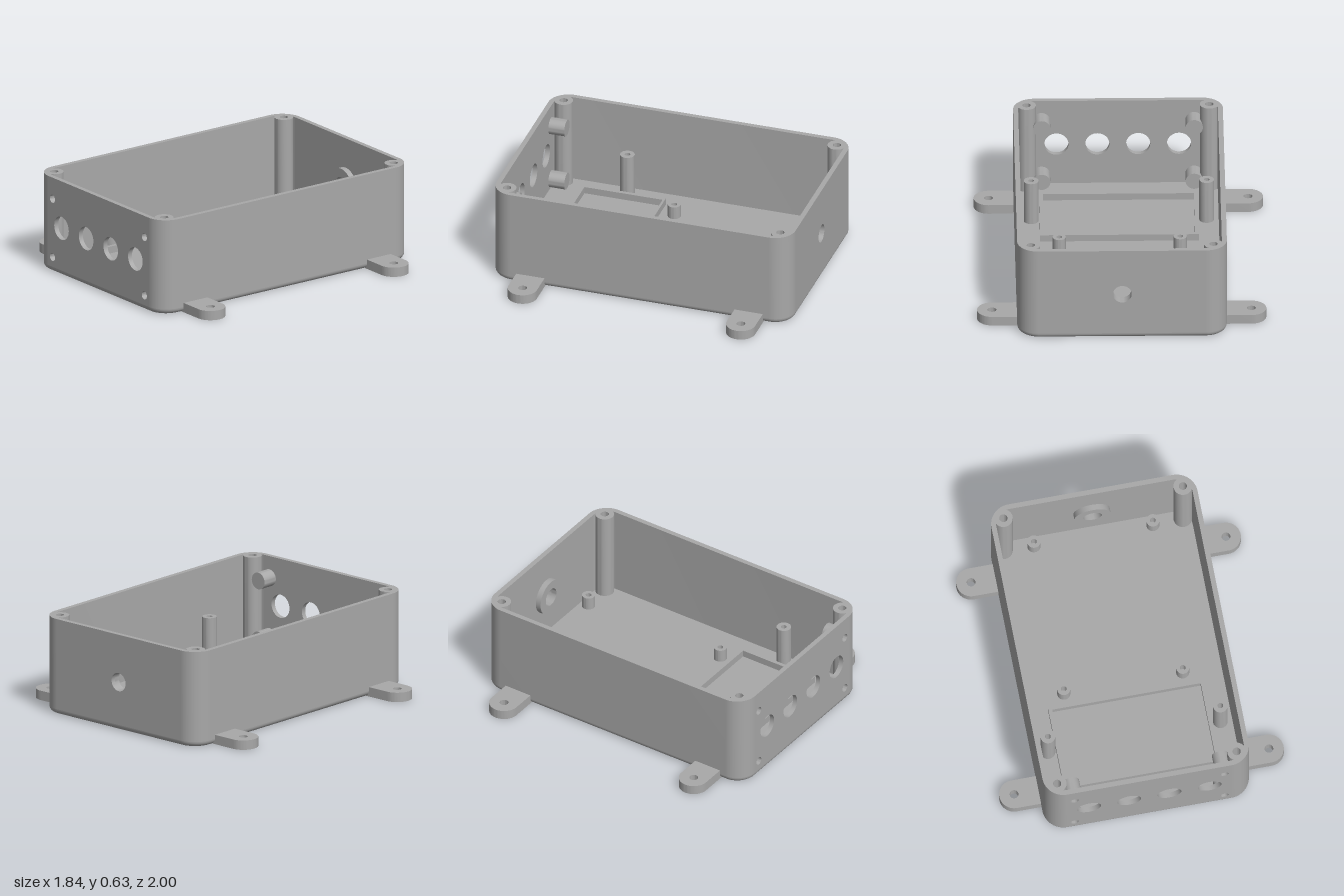
import * as THREE from 'three';
import { toCreasedNormals } from 'three/addons/utils/BufferGeometryUtils.js';

const W = 0.667, L = 1, H = 0.632;      // half width, half length, height
const R = 0.135, T = 0.032;             // corner radius, wall thickness
const F = 0.035;                        // floor thickness and bottom rounding
const CX = W - R, CZ = L - R;           // corner arc centres

export function createModel() {
  const model = new THREE.Group();
  const grey = new THREE.MeshStandardMaterial({ color: 0xa8a8a8 });
  grey.name = 'grey plastic';

  const add = (name, geometry, x = 0, y = 0, z = 0) => {
    const mesh = new THREE.Mesh(geometry, grey);
    mesh.name = name;
    mesh.position.set(x, y, z);
    model.add(mesh);
    return mesh;
  };
  const extrude = (shape, depth) => toCreasedNormals(
    new THREE.ExtrudeGeometry(shape, { depth, bevelEnabled: false, curveSegments: 20 }), 0.5);
  const extrudeUp = (shape, depth) => extrude(shape, depth).rotateX(-Math.PI / 2);
  const circle = (x, y, r) => new THREE.Path().absarc(x, y, r, 0, Math.PI * 2, true);
  const rect = (x0, y0, x1, y1) => new THREE.Shape([
    [x0, y0], [x1, y0], [x1, y1], [x0, y1]].map(p => new THREE.Vector2(...p)));
  const lathe = points => toCreasedNormals(
    new THREE.LatheGeometry(points.map(p => new THREE.Vector2(...p)), 40), 0.5);
  // Cylinder with a blind hole in its top
  const post = (r, h, hole, bottom) => lathe(
    [[0, 0], [r, 0], [r, h], [hole, h], [hole, bottom], [0, bottom]]);

  // Rounded rectangle outline, drawn inwards by an inset
  const outline = inset => {
    const points = [];
    [[1, 1], [-1, 1], [-1, -1], [1, -1]].forEach(([sx, sy], corner) => {
      for (let i = 0; i <= 12; i++) {
        const a = (corner + i / 12) * Math.PI / 2;
        points.push(new THREE.Vector2(
          sx * CX + (R - inset) * Math.cos(a), sy * CZ + (R - inset) * Math.sin(a)));
      }
    });
    return points;
  };

  // Floor: flat top and bottom with a rounded lower edge
  add('floorTop', new THREE.ShapeGeometry(new THREE.Shape(outline(0))).rotateX(-Math.PI / 2), 0, F, 0);
  add('floorBottom', new THREE.ShapeGeometry(new THREE.Shape(outline(F))).rotateX(Math.PI / 2));
  const positions = [], index = [], levels = 8;
  for (let k = 0; k <= levels; k++) {
    const t = k / levels * Math.PI / 2;
    const ring = outline(F * (1 - Math.sin(t)));
    ring.forEach(p => positions.push(p.x, F * (1 - Math.cos(t)), -p.y));
    if (k === levels) break;
    const n = ring.length;
    for (let i = 0; i < n; i++) {
      const a = k * n + i, b = k * n + (i + 1) % n;
      index.push(a, b, b + n, a, b + n, a + n);
    }
  }
  const edge = new THREE.BufferGeometry();
  edge.setAttribute('position', new THREE.Float32BufferAttribute(positions, 3));
  edge.setIndex(index);
  edge.computeVertexNormals();
  add('roundedBottomEdge', edge);

  // Side walls including the rounded corners
  const side = new THREE.Shape();
  side.moveTo(CX, -L);
  side.absarc(CX, -CZ, R, -Math.PI / 2, 0, false);
  side.absarc(CX, CZ, R, 0, Math.PI / 2, false);
  side.lineTo(CX, L - T);
  side.absarc(CX, CZ, R - T, Math.PI / 2, 0, true);
  side.absarc(CX, -CZ, R - T, 0, -Math.PI / 2, true);
  side.closePath();
  const sideGeometry = extrudeUp(side, H - F);
  add('leftWall', sideGeometry, 0, F, 0);
  add('rightWall', sideGeometry, 0, F, 0).rotation.y = Math.PI;

  // Front wall with four ports and four screw holes
  const front = rect(-CX, F, CX, H);
  for (const x of [-0.39, -0.13, 0.13, 0.39]) front.holes.push(circle(x, 0.318, 0.077));
  for (const x of [-0.485, 0.485]) {
    for (const y of [0.1, 0.49]) {
      front.holes.push(circle(x, y, 0.027));
      add('screwBoss', post(0.055, 0.108, 0.027, 0.03).rotateX(Math.PI / 2), x, y, 0.861);
    }
  }
  add('frontWall', extrude(front, T), 0, 0, L - T);

  // Back wall with a cable hole and its inner collar
  const back = rect(-CX, F, CX, H);
  back.holes.push(circle(0, 0.318, 0.06));
  add('backWall', extrude(back, T), 0, 0, -L);
  add('cableCollar', lathe([[0.06, 0], [0.118, 0], [0.118, 0.037], [0.06, 0.037], [0.06, 0]])
    .rotateX(Math.PI / 2), 0, 0.318, -L + T);

  // Raised battery-style frame on the floor
  const frame = rect(-0.505, -0.757, 0.505, -0.205);
  frame.holes.push(rect(-0.48, -0.742, 0.48, -0.22));
  add('floorFrame', extrudeUp(frame, 0.045), 0, F, 0);

  // Mounting tab with a rounded end
  const tab = new THREE.Shape();
  tab.moveTo(0.645, -0.095);
  tab.lineTo(0.825, -0.095);
  tab.absarc(0.825, 0, 0.095, -Math.PI / 2, Math.PI / 2, false);
  tab.lineTo(0.645, 0.095);
  tab.closePath();
  tab.holes.push(circle(0.825, 0, 0.028));
  const tabGeometry = extrudeUp(tab, 0.062);

  // Repeated parts on both sides
  const cornerPost = post(0.06, H - F, 0.026, 0.3);
  const shortStandoff = post(0.042, 0.085, 0.018, 0.01);
  const tallStandoff = post(0.047, 0.29, 0.018, 0.1);
  for (const s of [-1, 1]) {
    for (const e of [-1, 1]) {
      add('cornerPost', cornerPost, s * 0.581, F, e * 0.914);
      add('mountingTab', tabGeometry, 0, 0, e * 0.73).rotation.y = s < 0 ? Math.PI : 0;
    }
    for (const z of [-0.905, 0.11]) add('shortStandoff', shortStandoff, s * 0.385, F, z);
    add('tallStandoff', tallStandoff, s * 0.558, F, 0.48);
  }
  return model;
}
